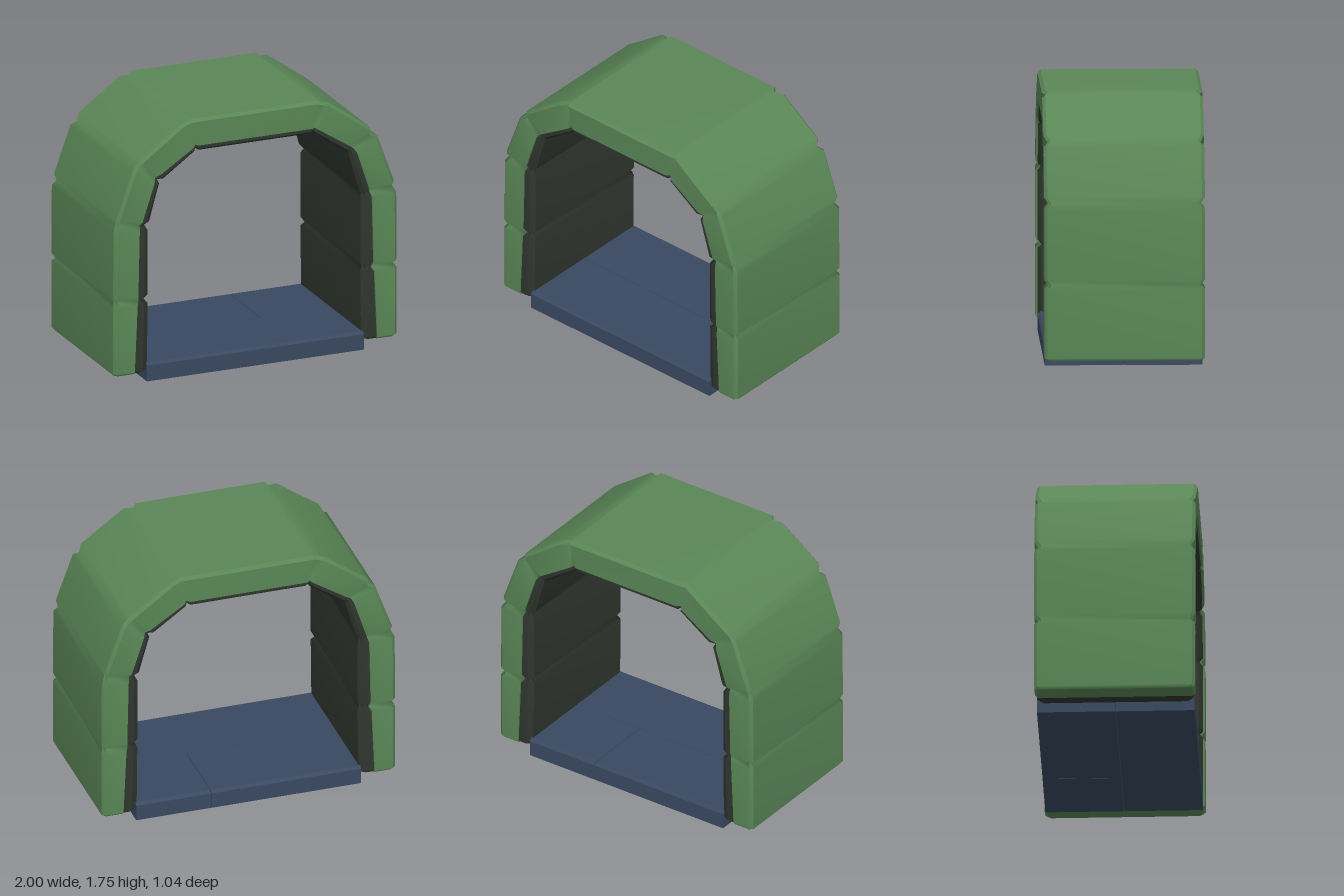
import * as THREE from 'three';

// Arch cross-sections from the foot to the crown (+x half):
// outer x,y, colour border x,y, inner x,y, half depth (small at the notched joints)
const HALF = [
  [0.985, 0.06, 0.855, 0.06, 0.775, 0.06, 0.5],
  [1, 0.08, 0.855, 0.08, 0.755, 0.08, 0.52],
  [1, 0.53, 0.835, 0.53, 0.75, 0.53, 0.52],
  [0.985, 0.555, 0.82, 0.555, 0.77, 0.555, 0.495],
  [1, 0.59, 0.83, 0.59, 0.75, 0.59, 0.52],
  [0.997, 1.05, 0.82, 1.04, 0.75, 1.03, 0.52],
  [0.975, 1.09, 0.81, 1.075, 0.765, 1.06, 0.495],
  [0.98, 1.13, 0.8, 1.1, 0.74, 1.09, 0.52],
  [0.865, 1.45, 0.715, 1.36, 0.67, 1.34, 0.52],
  [0.83, 1.475, 0.7, 1.385, 0.675, 1.36, 0.495],
  [0.81, 1.52, 0.67, 1.41, 0.64, 1.37, 0.52],
  [0.52, 1.73, 0.44, 1.56, 0.42, 1.525, 0.52],
  [0.46, 1.74, 0.42, 1.57, 0.41, 1.54, 0.495],
  [0.44, 1.755, 0.4, 1.572, 0.39, 1.53, 0.52],
];

// Closed ring of 12 points: inner front, outer front, outer back, inner back
function ring([ox, oy, sx, sy, ix, iy, h]) {
  const O = new THREE.Vector2(ox, oy), S = new THREE.Vector2(sx, sy), I = new THREE.Vector2(ix, iy);
  const lip = I.clone().lerp(S, 0.4);
  const shoulder = O.clone().add(S.clone().sub(O).setLength(0.02));
  const front = [[I, h - 0.035], [lip, h - 0.012], [S, h - 0.012], [S, h], [shoulder, h], [O, h - 0.02]];
  const at = (p, z) => [p.x, p.y, z];
  return [...front.map(([p, z]) => at(p, z)), ...front.reverse().map(([p, z]) => at(p, -z))];
}

function geometry(points, index) {
  const g = new THREE.BufferGeometry();
  g.setAttribute('position', new THREE.Float32BufferAttribute(points.flat(), 3));
  g.setIndex(index);
  g.computeVertexNormals();
  return g;
}

function buildArch(shellMaterial, liningMaterial) {
  const arch = new THREE.Group();
  arch.name = 'arch';
  const mirrored = HALF.map(([ox, oy, sx, sy, ix, iy, h]) => [-ox, oy, -sx, sy, -ix, iy, h]).reverse();
  const rings = [...HALF, ...mirrored].map(ring);
  const isShell = (k) => k >= 2 && k <= 8;

  // Strips along the arch, smooth lengthwise and crisp at the rims
  for (let k = 0; k < 12; k++) {
    const points = [], index = [];
    rings.forEach((r, i) => {
      points.push(r[k], r[(k + 1) % 12]);
      if (i === 0) return;
      const a = 2 * i - 2;
      index.push(a, a + 1, a + 2, a + 1, a + 3, a + 2);
    });
    const mesh = new THREE.Mesh(geometry(points, index), isShell(k) ? shellMaterial : liningMaterial);
    mesh.name = k === 5 ? 'outerShell' : k === 11 ? 'innerLining' : isShell(k) ? 'shellRim' : 'liningRim';
    arch.add(mesh);
  }

  // Undersides of the two feet
  [rings[0], rings[rings.length - 1]].forEach((r, end) => {
    for (let j = 0; j < 5; j++) {
      const points = [r[j], r[j + 1], r[10 - j], r[11 - j]];
      const index = end ? [0, 1, 2, 0, 2, 3] : [0, 2, 1, 0, 3, 2];
      const mesh = new THREE.Mesh(geometry(points, index), isShell(j) ? shellMaterial : liningMaterial);
      mesh.name = 'footUnderside';
      arch.add(mesh);
    }
  });
  return arch;
}

// Floor slab from x0 to x1, with a chamfered top edge on its outer (front or back) side
function buildSlab(name, x0, x1, side, material) {
  const c = 0.018, top = 0.125, inner = 0.002, outer = 0.51;
  const s = new THREE.Shape();
  s.moveTo(-side * inner, 0);
  s.lineTo(-side * outer, 0);
  s.lineTo(-side * outer, top - c);
  s.lineTo(-side * (outer - c), top);
  s.lineTo(-side * inner, top);
  s.closePath();
  const g = new THREE.ExtrudeGeometry(s, { depth: x1 - x0, bevelEnabled: false });
  g.rotateY(Math.PI / 2);
  g.translate(x0, 0, 0);
  const mesh = new THREE.Mesh(g, material);
  mesh.name = name;
  return mesh;
}

export function createModel() {
  const material = (name, color) => {
    const m = new THREE.MeshStandardMaterial({ color });
    m.name = name;
    return m;
  };
  const green = material('shellGreen', 0x5a8757);
  const dark = material('liningDark', 0x30362f);
  const blue = material('floorBlue', 0x3a4961);

  const model = new THREE.Group();
  model.name = 'archedShelter';
  model.add(buildArch(green, dark));

  // Three floor slabs: one in front, two behind
  const floor = new THREE.Group();
  floor.name = 'floor';
  floor.add(
    buildSlab('frontSlab', -0.765, 0.765, 1, blue),
    buildSlab('backSlabRight', -0.765, 0.253, -1, blue),
    buildSlab('backSlabLeft', 0.257, 0.765, -1, blue),
  );
  model.add(floor);
  return model;
}
